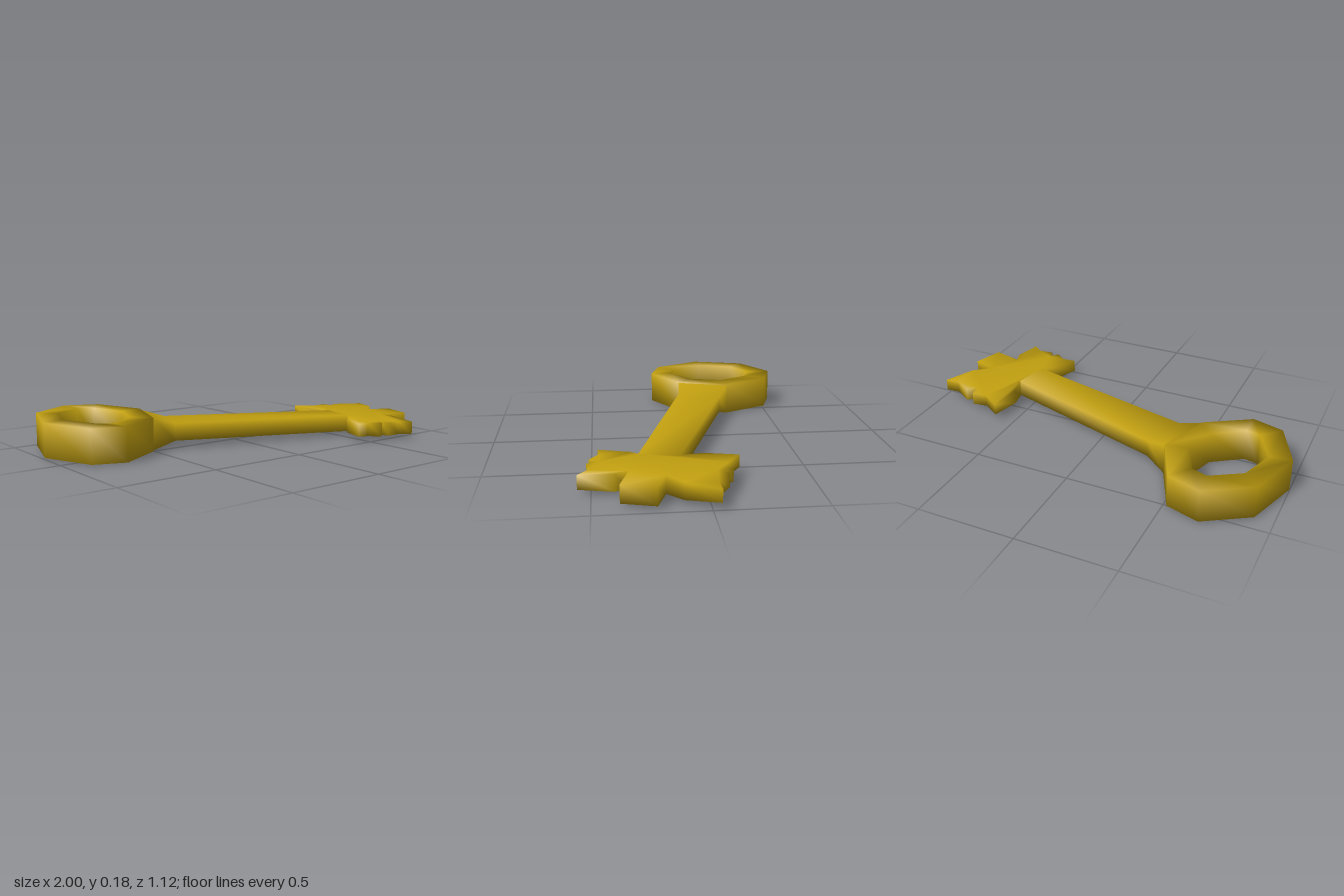
import * as THREE from 'three';

const gold = new THREE.MeshStandardMaterial({ color: 0xc2a010 });
gold.name = 'gold';

// Smooth shaded mesh from a point list and triangle indices
function makeMesh(name, points, faces) {
  const geometry = new THREE.BufferGeometry();
  geometry.setAttribute('position', new THREE.Float32BufferAttribute(points.flat(), 3));
  geometry.setIndex(faces.flat());
  geometry.computeVertexNormals();
  const mesh = new THREE.Mesh(geometry, gold);
  mesh.name = name;
  return mesh;
}

// Box-shaped sections [ax, az, bx, bz, low, high] joined along a path
function loft(name, sections, closed) {
  const points = [], faces = [];
  for (const [ax, az, bx, bz, low, high] of sections) {
    points.push([ax, low, az], [ax, high, az], [bx, high, bz], [bx, low, bz]);
  }
  const n = sections.length;
  for (let s = 0; s < (closed ? n : n - 1); s++) {
    const a = s * 4, b = ((s + 1) % n) * 4;
    for (let k = 0; k < 4; k++) {
      const m = (k + 1) % 4;
      faces.push([a + k, a + m, b + m], [a + k, b + m, b + k]);
    }
  }
  return makeMesh(name, points, faces);
}

// Plate from an outline of [x, z, low, high], so its tips can be thinner
function plate(name, outline) {
  const n = outline.length;
  const points = [
    ...outline.map(([x, z, low]) => [x, low, z]),
    ...outline.map(([x, z, , high]) => [x, high, z]),
  ];
  const faces = [];
  const flat = outline.map(([x, z]) => new THREE.Vector2(x, z));
  for (const [a, b, c] of THREE.ShapeUtils.triangulateShape(flat, [])) {
    faces.push([a, b, c], [c + n, b + n, a + n]);
  }
  for (let i = 0; i < n; i++) {
    const j = (i + 1) % n;
    faces.push([i, i + n, j + n], [i, j + n, j]);
  }
  return makeMesh(name, points, faces);
}

export function createModel() {
  const key = new THREE.Group();
  key.name = 'key';

  // Eight-sided bow: outer and inner corners, tilted a little
  const bow = [
    [-0.69, -0.565, -0.68, -0.44],
    [-0.52, -0.51, -0.60, -0.41],
    [-0.41, -0.27, -0.525, -0.25],
    [-0.50, 0.00, -0.58, -0.08],
    [-0.73, 0.14, -0.73, 0.02],
    [-0.89, 0.09, -0.80, 0.00],
    [-1.00, -0.155, -0.89, -0.17],
    [-0.91, -0.43, -0.83, -0.35],
  ].map(([ox, oz, ix, iz]) => {
    const mid = 0.087 - 0.012 * (ox + 0.7) - 0.012 * (oz + 0.2);
    return [ox, oz, ix, iz, mid - 0.083, mid + 0.083];
  });
  key.add(loft('bow', bow, true));

  // Shaft with a collar that flares into the bow
  key.add(loft('shaft', [
    [-0.412, -0.27, -0.502, 0.00, 0.003, 0.163],
    [-0.30, -0.21, -0.38, 0.012, 0.038, 0.125],
    [0.60, 0.097, 0.56, 0.285, 0.018, 0.104],
  ], false));

  // Toothed bit, thick at the roots and thinner at the tips
  key.add(plate('bit', [
    [0.595, 0.10, 0.016, 0.104],
    [0.57, -0.01, 0.025, 0.102],
    [0.595, -0.175, 0.035, 0.096],
    [0.69, -0.11, 0.032, 0.096],
    [0.77, -0.12, 0.032, 0.095],
    [0.78, -0.05, 0.028, 0.096],
    [0.825, -0.095, 0.03, 0.095],
    [0.92, -0.035, 0.028, 0.094],
    [0.995, -0.04, 0.03, 0.09],
    [0.92, 0.11, 0.018, 0.096],
    [0.83, 0.18, 0.012, 0.098],
    [0.96, 0.225, 0.012, 0.093],
    [0.91, 0.38, 0.01, 0.094],
    [0.755, 0.335, 0.011, 0.097],
    [0.78, 0.40, 0.012, 0.093],
    [0.755, 0.56, 0.018, 0.085],
    [0.70, 0.515, 0.018, 0.087],
    [0.62, 0.52, 0.02, 0.088],
    [0.61, 0.465, 0.018, 0.091],
    [0.575, 0.51, 0.02, 0.09],
    [0.515, 0.465, 0.022, 0.092],
    [0.445, 0.47, 0.028, 0.092],
    [0.515, 0.32, 0.02, 0.1],
    [0.56, 0.28, 0.016, 0.104],
  ]));

  return key;
}
